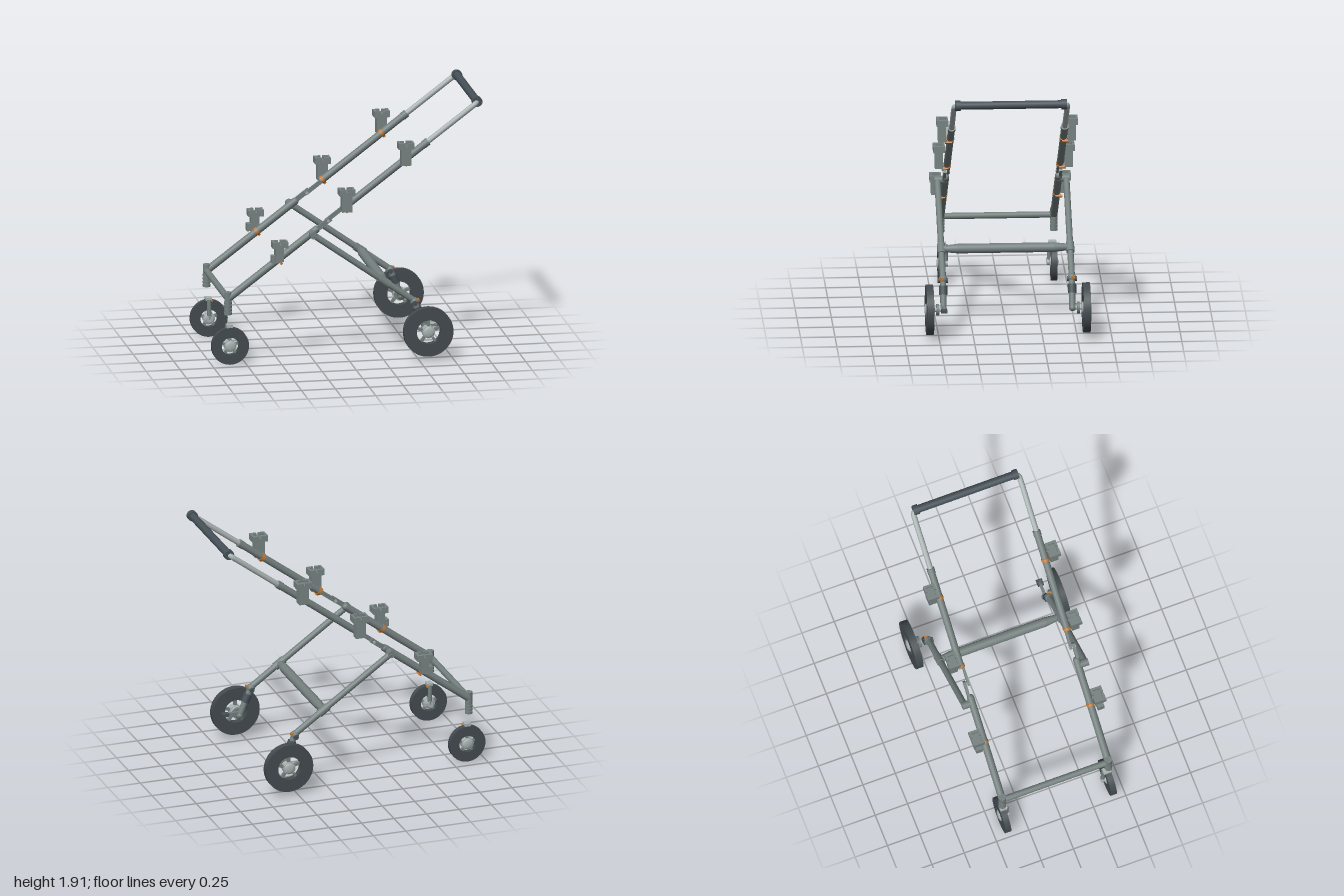
import * as THREE from 'three';
import { toCreasedNormals } from 'three/addons/utils/BufferGeometryUtils.js';

const mat = (name, color) => {
  const m = new THREE.MeshStandardMaterial({ color });
  m.name = name;
  return m;
};

export function createModel() {
  const model = new THREE.Group();
  model.name = 'foldingPushFrame';
  const frame = mat('frameGrey', 0x74807e);
  const bracketGrey = mat('bracketGrey', 0x788482);
  const silver = mat('silver', 0xa9b2b2);
  const rubber = mat('rubber', 0x434b4f);
  const grip = mat('gripDark', 0x465158);
  const orange = mat('orange', 0xc9792f);

  const V = (x, y, z) => new THREE.Vector3(x, y, z);
  const UP = V(0, 1, 0);
  const railY = x => 0.49 + (x + 0.88) * 0.75; // sloping line of the side rails
  const slope = Math.atan(0.75);

  function add(name, geo, material, parent = model) {
    const m = new THREE.Mesh(geo, material);
    m.name = name;
    parent.add(m);
    return m;
  }
  // Cylinder between two points
  function rod(name, a, b, r, material, r2 = r, seg = 20, parent = model) {
    const d = b.clone().sub(a);
    const m = add(name, new THREE.CylinderGeometry(r2, r, d.length(), seg), material, parent);
    m.position.copy(a).add(b).multiplyScalar(0.5);
    m.quaternion.setFromUnitVectors(UP, d.normalize());
    return m;
  }
  function box(name, w, h, d, x, y, z, material, parent = model) {
    const m = add(name, new THREE.BoxGeometry(w, h, d), material, parent);
    m.position.set(x, y, z);
    return m;
  }
  function ball(name, r, p, material) {
    add(name, new THREE.SphereGeometry(r, 20, 14), material).position.copy(p);
  }

  // Wheel: flat tyre ring, spokes and rounded hub, with its axis on z
  function wheel(name, x, y, z, r, hole, hub, w) {
    const g = new THREE.Group();
    g.name = name;
    g.position.set(x, y, z);
    const h = w / 2;
    const ring = [[hole, -h], [r, -h], [r, h], [hole, h], [hole, -h]]
      .map(p => new THREE.Vector2(...p));
    const tyre = toCreasedNormals(new THREE.LatheGeometry(ring, 48), 0.6);
    tyre.rotateX(Math.PI / 2);
    add('tyre', tyre, rubber, g);
    for (let i = 0; i < 5; i++) {
      const a = Math.PI / 2 + i * Math.PI * 0.4;
      const dir = V(Math.cos(a), Math.sin(a), 0);
      const s = box('spoke', hole - hub + 0.03, 0.02, w * 0.5, 0, 0, 0, frame, g);
      s.position.copy(dir).multiplyScalar((hole + hub) / 2);
      s.rotation.z = a;
    }
    rod('hub', V(0, 0, -h), V(0, 0, h), hub, silver, hub, 24, g);
    for (const e of [-1, 1]) {
      const dome = add('hubCap', new THREE.SphereGeometry(hub * 0.9, 20, 12), silver, g);
      dome.scale.z = 0.3;
      dome.position.z = e * h;
    }
    model.add(g);
  }

  // Seat clip with notched head, clamped beside the rail by an orange strap
  function clip(x, s, low) {
    const g = new THREE.Group();
    g.name = 'seatClip';
    g.position.set(x, railY(x), s * 0.47);
    if (low) {
      box('clipStem', 0.06, 0.11, 0.06, -0.005, 0.055, 0, bracketGrey, g);
      box('clipFoot', 0.06, 0.055, 0.05, -0.035, 0.02, 0, bracketGrey, g);
    } else {
      box('clipStem', 0.075, 0.13, 0.06, 0.008, 0.05, 0, bracketGrey, g);
    }
    const cx = low ? 0 : 0.008, top = low ? 0.125 : 0.13;
    box('clipHead', 0.115, 0.026, 0.085, cx, top - 0.008, 0, bracketGrey, g);
    // raised rim leaving a socket and a slot in the head
    for (const e of [-1, 1]) {
      box('headRim', 0.05, 0.02, 0.018, cx + e * 0.0325, top + 0.015, 0.0335, bracketGrey, g);
      box('headRim', 0.05, 0.02, 0.018, cx + e * 0.0325, top + 0.015, -0.0335, bracketGrey, g);
      box('headRimEnd', 0.018, 0.02, 0.05, cx + e * 0.0485, top + 0.015, 0, bracketGrey, g);
    }
    model.add(g);
    const u = V(0.8, 0.6, 0).multiplyScalar(0.01);
    const c = V(x, railY(x), s * 0.41);
    rod('strap', c.clone().sub(u), c.clone().add(u), 0.03, orange);
    const lug = box('strapLug', 0.02, 0.014, 0.05, x + 0.018, railY(x) - 0.024, s * 0.425, orange);
    lug.rotation.z = slope;
  }

  for (const s of [1, -1]) {
    const z = s * 0.41;
    const P = x => V(x, railY(x), z);

    // Side rail: lower tube, upper sleeve and slim handle tube
    rod('lowerRail', P(-0.875), P(-0.23), 0.027, frame);
    ball('lowerRailEnd', 0.027, P(-0.23), frame);
    rod('upperRail', P(-0.04), P(0.58), 0.026, frame);
    rod('railCollar', P(0.56), P(0.595), 0.029, frame);
    const bend = new THREE.CatmullRomCurve3([
      P(0.58), P(0.75), P(0.9), V(0.945, railY(0.945), s * 0.406), V(0.96, 1.87, s * 0.385)]);
    add('handleTube', new THREE.TubeGeometry(bend, 32, 0.02, 16), silver);

    // Folding joint: two overlapping plates and a pin
    const a = box('hingePlateLower', 0.14, 0.034, 0.02, -0.18, railY(-0.18), s * 0.42, frame);
    const b = box('hingePlateUpper', 0.15, 0.03, 0.016, -0.095, railY(-0.095), s * 0.396, frame);
    a.rotation.z = b.rotation.z = slope;
    rod('hingePin', V(-0.145, railY(-0.145), s * 0.383), V(-0.145, railY(-0.145), s * 0.435), 0.011, silver);

    // Rear leg with its pivot, collar and foot joint
    const legZ = s * 0.467;
    rod('legPivot', V(-0.26, 0.95, s * 0.4), V(-0.26, 0.95, s * 0.488), 0.028, frame);
    rod('rearLeg', V(-0.26, 0.95, legZ), V(0.48, 0.425, legZ), 0.023, frame);
    rod('legCollar', V(0.225, 0.606, legZ), V(0.295, 0.556, legZ), 0.03, frame);
    ball('footJoint', 0.031, V(0.48, 0.42, legZ), frame);
    rod('footPin', V(0.48, 0.41, s * 0.432), V(0.48, 0.41, s * 0.505), 0.018, grip);
    box('footLatch', 0.03, 0.02, 0.026, 0.5, 0.43, s * 0.475, orange);
    rod('footArm', V(0.485, 0.41, legZ), V(0.565, 0.215, legZ), 0.023, frame);
    ball('footArmEnd', 0.026, V(0.565, 0.215, legZ), frame);
    rod('footShock', V(0.5, 0.375, legZ), V(0.525, 0.315, legZ), 0.031, grip);
    rod('rearAxle', V(0.565, 0.215, legZ), V(0.565, 0.215, s * 0.56), 0.015, silver);
    rod('brakeDisc', V(0.565, 0.215, s * 0.5), V(0.565, 0.215, s * 0.52), 0.042, frame);
    wheel('rearWheel', 0.565, 0.215, s * 0.568, 0.182, 0.088, 0.046, 0.052);

    // Front post with ribbed spring
    rod('frontPost', V(-0.88, 0.47, z), V(-0.88, 0.54, z), 0.027, frame);
    rod('springCore', V(-0.88, 0.375, z), V(-0.88, 0.475, z), 0.02, frame);
    for (let i = 0; i < 4; i++) {
      const y = 0.372 + i * 0.026;
      rod('springRib', V(-0.88, y, z), V(-0.88, y + 0.018, z), 0.028, frame);
    }

    // Front wheel with bracket and inner arm
    wheel('frontWheel', -0.865, 0.138, z - s * 0.002, 0.137, 0.064, 0.044, 0.044);
    box('forkTop', 0.045, 0.022, 0.055, -0.868, 0.285, s * 0.4, silver);
    rod('forkArm', V(-0.868, 0.28, s * 0.377), V(-0.865, 0.138, s * 0.373), 0.016, frame);
    rod('forkBoss', V(-0.865, 0.138, s * 0.358), V(-0.865, 0.138, s * 0.39), 0.024, silver);
    box('forkMark', 0.02, 0.01, 0.015, -0.85, 0.272, s * 0.376, orange);

    // Seat clips
    clip(-0.51, s, true);
    clip(-0.026, s, false);
    clip(0.41, s, false);

    // Grip end and tapered end of the rear crossbar
    rod('gripEnd', V(0.96, 1.87, s * 0.365), V(0.96, 1.87, s * 0.405), 0.037, grip);
    rod('rearCrossbarEnd', V(0.26, 0.583, s * 0.35), V(0.26, 0.583, s * 0.467), 0.035, frame, 0.022);
  }

  // Cross members
  rod('handleGrip', V(0.96, 1.87, -0.37), V(0.96, 1.87, 0.37), 0.029, grip);
  rod('rearCrossbar', V(0.26, 0.583, -0.35), V(0.26, 0.583, 0.35), 0.035, frame);
  rod('frontCrossbar', V(-0.88, 0.49, -0.4), V(-0.88, 0.49, 0.4), 0.023, frame);

  // Brake pedal on the left foot
  box('brakeLever', 0.15, 0.02, 0.02, 0.61, 0.235, 0.468, frame);
  box('brakePedal', 0.05, 0.02, 0.045, 0.675, 0.235, 0.468, grip);

  return model;
}
